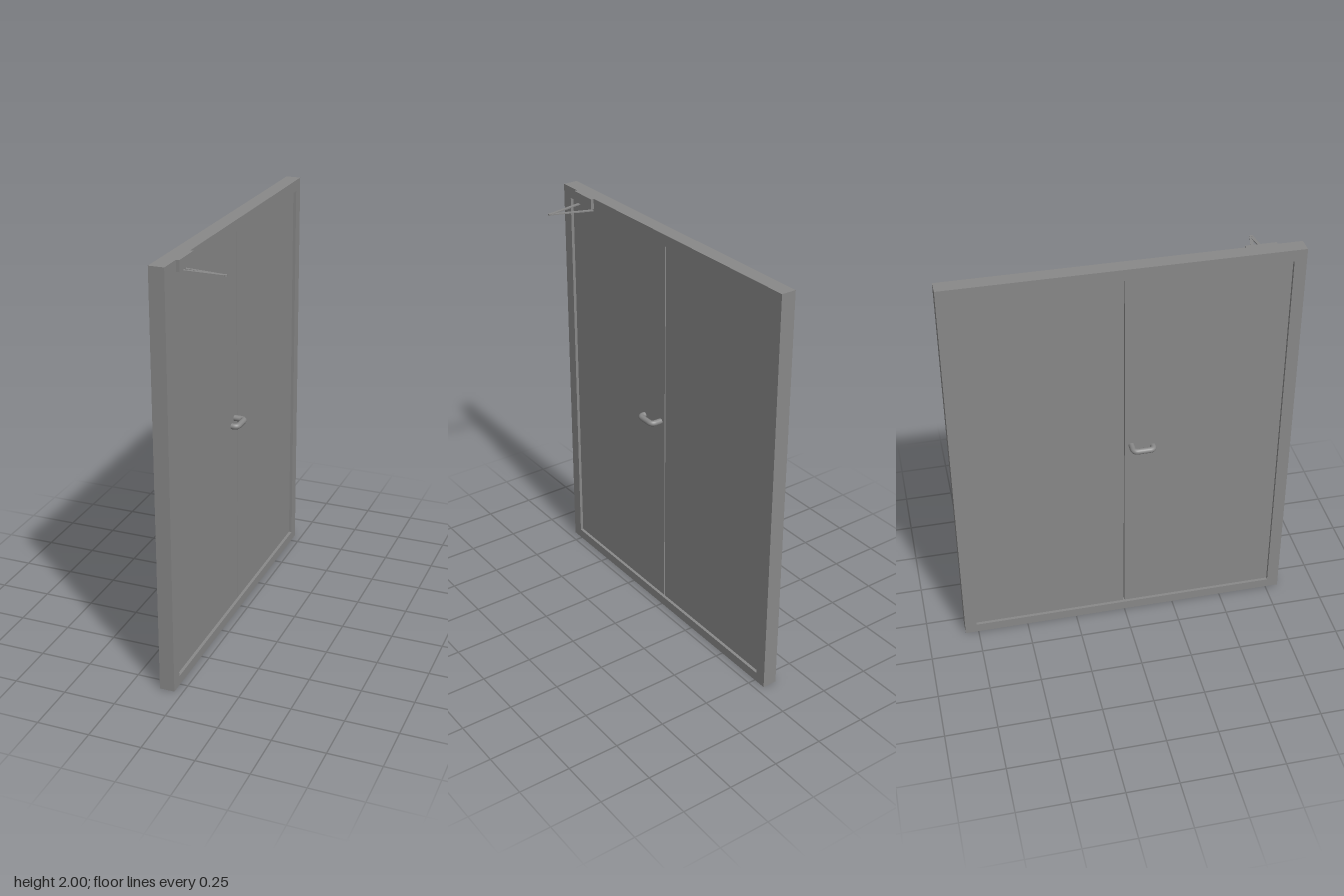
import * as THREE from 'three';

const grey = new THREE.MeshStandardMaterial({ color: 0x888888 });
const MID = -0.074; // x of the door plane

function add(parent, name, geometry, x = 0, y = 0, z = 0) {
  const mesh = new THREE.Mesh(geometry, grey);
  mesh.name = name;
  mesh.position.set(x, y, z);
  parent.add(mesh);
  return mesh;
}

// Flat bar between two points
function addBar(parent, name, from, to, width, thickness) {
  const bar = add(parent, name, new THREE.BoxGeometry(width, thickness, from.distanceTo(to)));
  bar.position.copy(from).lerp(to, 0.5);
  bar.lookAt(to);
}

// Rectangle outline, counter-clockwise
function rectangle(halfWidth, bottom, top) {
  return [
    new THREE.Vector2(-halfWidth, bottom), new THREE.Vector2(halfWidth, bottom),
    new THREE.Vector2(halfWidth, top), new THREE.Vector2(-halfWidth, top),
  ];
}

// Lever handle bent from round bar, side = +1 or -1 along x
function addHandle(parent, name, side) {
  const r = 0.0142, bend = 0.022, out = 0.074, z0 = 0.035, z1 = 0.132;
  const p = (d, z) => new THREE.Vector3(MID + side * d, 1.039, z);
  const path = new THREE.CurvePath();
  path.add(new THREE.LineCurve3(p(0.015, z0), p(out - bend, z0)));
  path.add(new THREE.QuadraticBezierCurve3(p(out - bend, z0), p(out, z0), p(out, z0 + bend)));
  path.add(new THREE.LineCurve3(p(out, z0 + bend), p(out, z1 - bend)));
  path.add(new THREE.QuadraticBezierCurve3(p(out, z1 - bend), p(out, z1), p(out - bend, z1)));
  path.add(new THREE.LineCurve3(p(out - bend, z1), p(0.046, z1)));
  const handle = new THREE.Group();
  handle.name = name;
  add(handle, 'lever', new THREE.TubeGeometry(path, 48, r, 16, false));
  // Cap on the free end
  const cap = add(handle, 'leverEnd', new THREE.CircleGeometry(r, 16));
  cap.position.copy(p(0.046, z1));
  cap.rotation.y = -side * Math.PI / 2;
  parent.add(handle);
}

export function createModel() {
  const door = new THREE.Group();
  door.name = 'doubleDoor';

  // Frame around the opening
  const halfOpening = 0.758, bottom = 0.047, top = 1.946, depth = 0.072;
  const outline = new THREE.Shape(rectangle(0.815, 0, 2));
  outline.holes.push(new THREE.Path(rectangle(halfOpening, bottom, top).reverse()));
  const frame = new THREE.ExtrudeGeometry(outline, { depth, bevelEnabled: false });
  add(door, 'frame', frame.translate(0, 0, -depth / 2).rotateY(Math.PI / 2), MID);

  // Two leaves with a narrow, deep seam, closed by a strip in the middle
  const seam = 0.006, height = top - bottom, y = (top + bottom) / 2;
  const leafWidth = halfOpening - seam / 2;
  for (const s of [1, -1]) {
    add(door, s > 0 ? 'activeLeaf' : 'fixedLeaf',
      new THREE.BoxGeometry(0.042, height, leafWidth), MID, y, s * (seam + leafWidth) / 2);
  }
  add(door, 'meetingStrip', new THREE.BoxGeometry(0.006, height, seam), MID, y, 0);

  addHandle(door, 'frontHandle', 1);
  addHandle(door, 'backHandle', -1);

  // Door closer with its folding arm
  const closer = new THREE.Group();
  closer.name = 'doorCloser';
  add(closer, 'closerBody', new THREE.BoxGeometry(0.016, 0.051, 0.145), -0.031, 1.9745, 0.628);
  const elbow = new THREE.Vector3(0.154, 1.938, 0.64);
  addBar(closer, 'upperArm', new THREE.Vector3(-0.033, 1.947, 0.663), elbow, 0.015, 0.005);
  addBar(closer, 'lowerArm', new THREE.Vector3(-0.054, 1.93, 0.588), elbow, 0.015, 0.005);
  add(closer, 'elbowPin', new THREE.CylinderGeometry(0.008, 0.008, 0.008, 16), 0.153, 1.938, 0.64);
  door.add(closer);

  return door;
}
